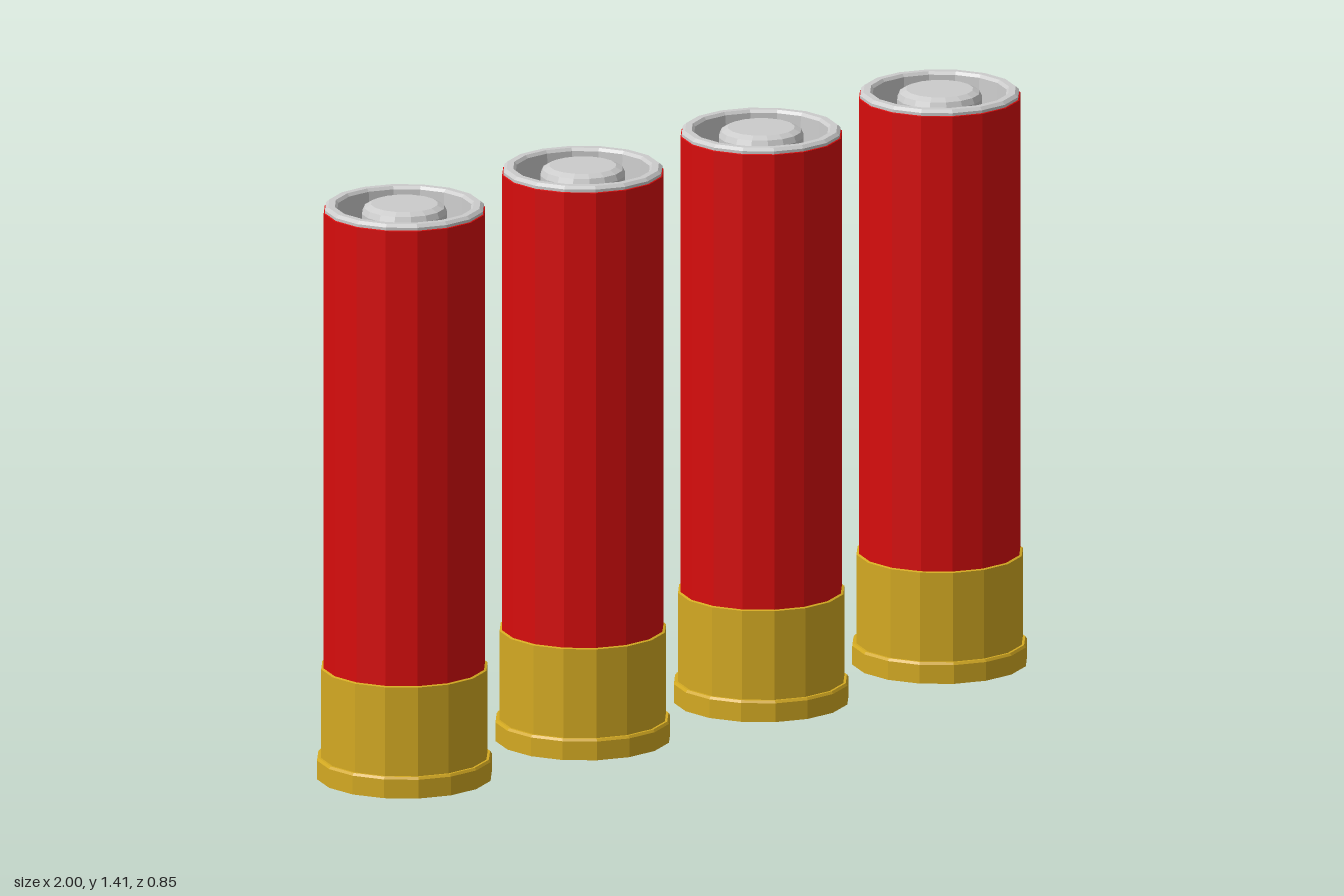
import * as THREE from 'three';

const SIDES = 16;

function material(color) {
  return new THREE.MeshStandardMaterial({ color, flatShading: true });
}

// Faceted solid of revolution from [radius, height] pairs, bottom to top.
function turned(name, profile, mat) {
  const points = profile.map(([r, y]) => new THREE.Vector2(r, y));
  const mesh = new THREE.Mesh(new THREE.LatheGeometry(points, SIDES), mat);
  mesh.name = name;
  return mesh;
}

export function createModel() {
  const model = new THREE.Group();
  model.name = 'shellRow';

  const brass = material(0xd4aa22);
  const red = material(0xd80c0c);
  const grey = material(0xcccccc);

  function createShell() {
    const shell = new THREE.Group();
    shell.name = 'shell';

    // Brass base with a wider rim at the foot
    shell.add(turned('brassBase', [
      [0, 0], [0.21, 0], [0.21, 0.046], [0.206, 0.052],
      [0.2, 0.052], [0.2, 0.27], [0.194, 0.272],
    ], brass));

    // Straight red tube
    shell.add(turned('hull', [[0.194, 0.26], [0.194, 1.39], [0.189, 1.392]], red));

    // Rolled lip, recessed floor and raised central button
    shell.add(turned('crimpedTop', [
      [0.191, 1.388], [0.191, 1.398], [0.183, 1.405], [0.167, 1.405],
      [0.161, 1.398], [0.158, 1.335], [0.102, 1.335], [0.102, 1.385],
      [0.096, 1.399], [0.08, 1.407], [0, 1.407],
    ], grey));
    return shell;
  }

  // Four shells in a diagonal row
  for (let i = 0; i < 4; i++) {
    const t = (i - 1.5) / 1.5;
    const shell = createShell();
    shell.position.set(0.79 * t, 0, 0.213 * t);
    model.add(shell);
  }
  return model;
}
